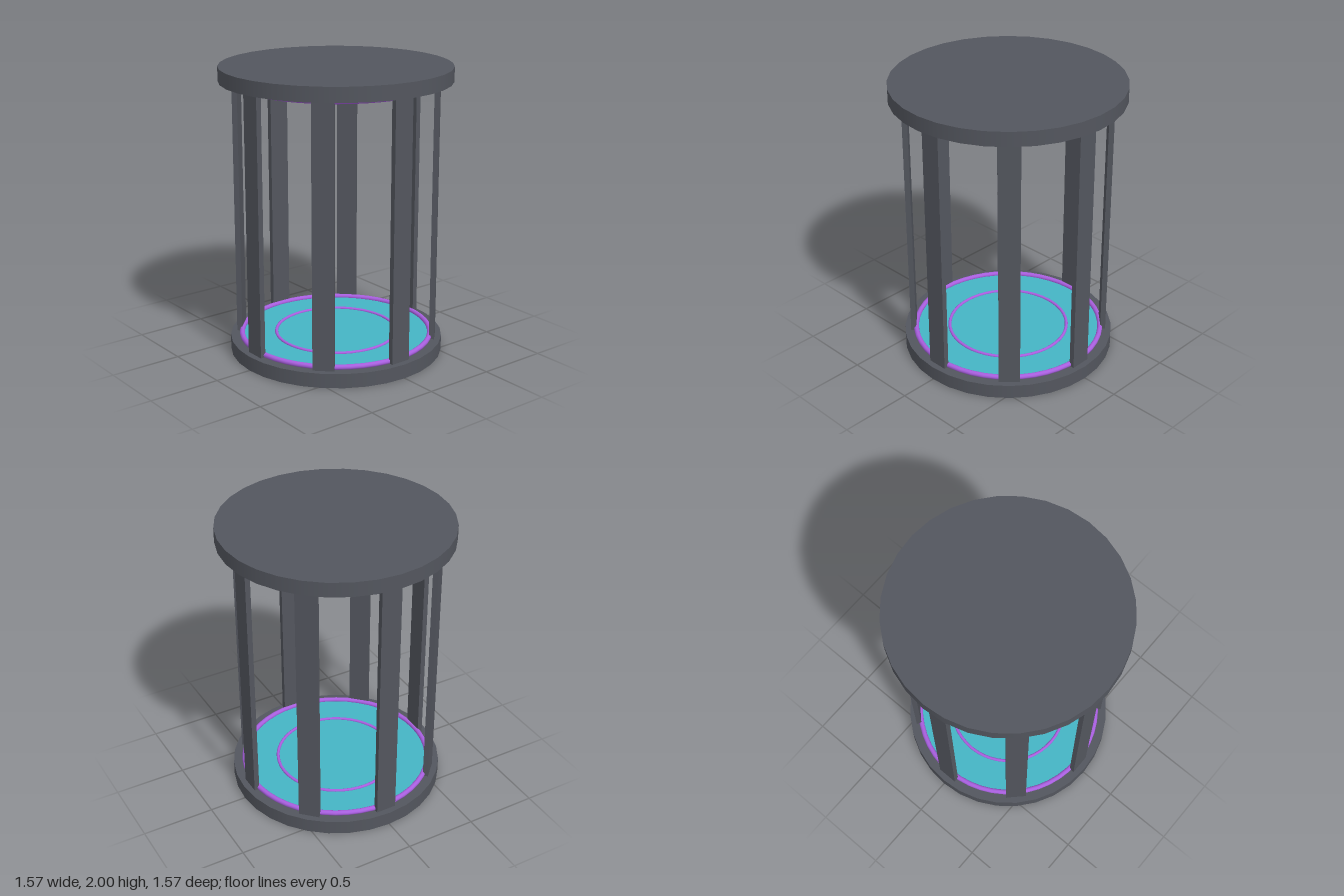
import * as THREE from 'three';

const metal = new THREE.MeshStandardMaterial({ color: 0x53565e });
const glow = new THREE.MeshStandardMaterial({ color: 0xa95fe0 });
const teal = new THREE.MeshStandardMaterial({ color: 0x45b5c5 });

export function createModel() {
  const model = new THREE.Group();

  const add = (name, geometry, material, y) => {
    const mesh = new THREE.Mesh(geometry, material);
    mesh.name = name;
    mesh.position.y = y;
    model.add(mesh);
    return mesh;
  };
  const disc = (name, radius, bottom, top, material) =>
    add(name, new THREE.CylinderGeometry(radius, radius, top - bottom, 32), material, (bottom + top) / 2);
  const ring = (name, radius, tube, y) =>
    add(name, new THREE.TorusGeometry(radius, tube, 10, 48).rotateX(Math.PI / 2), glow, y);

  // Base, roof and inlaid floor
  disc('base', 0.74, 0, 0.1, metal);
  disc('roof', 0.785, 1.9, 2, metal);
  disc('floorPanel', 0.65, 0.09, 0.108, teal);

  // Light rings along the bars and on the floor
  ring('lowerRing', 0.66, 0.018, 0.114);
  ring('upperRing', 0.66, 0.018, 1.886);
  ring('floorRing', 0.42, 0.011, 0.11);

  // Eight flat bars set tangent to the circle
  const barGeometry = new THREE.BoxGeometry(0.144, 1.8, 0.036).translate(0, 0, 0.677);
  for (let i = 0; i < 8; i++) {
    add('bar' + (i + 1), barGeometry, metal, 1).rotation.y = (i * Math.PI) / 4;
  }
  return model;
}
